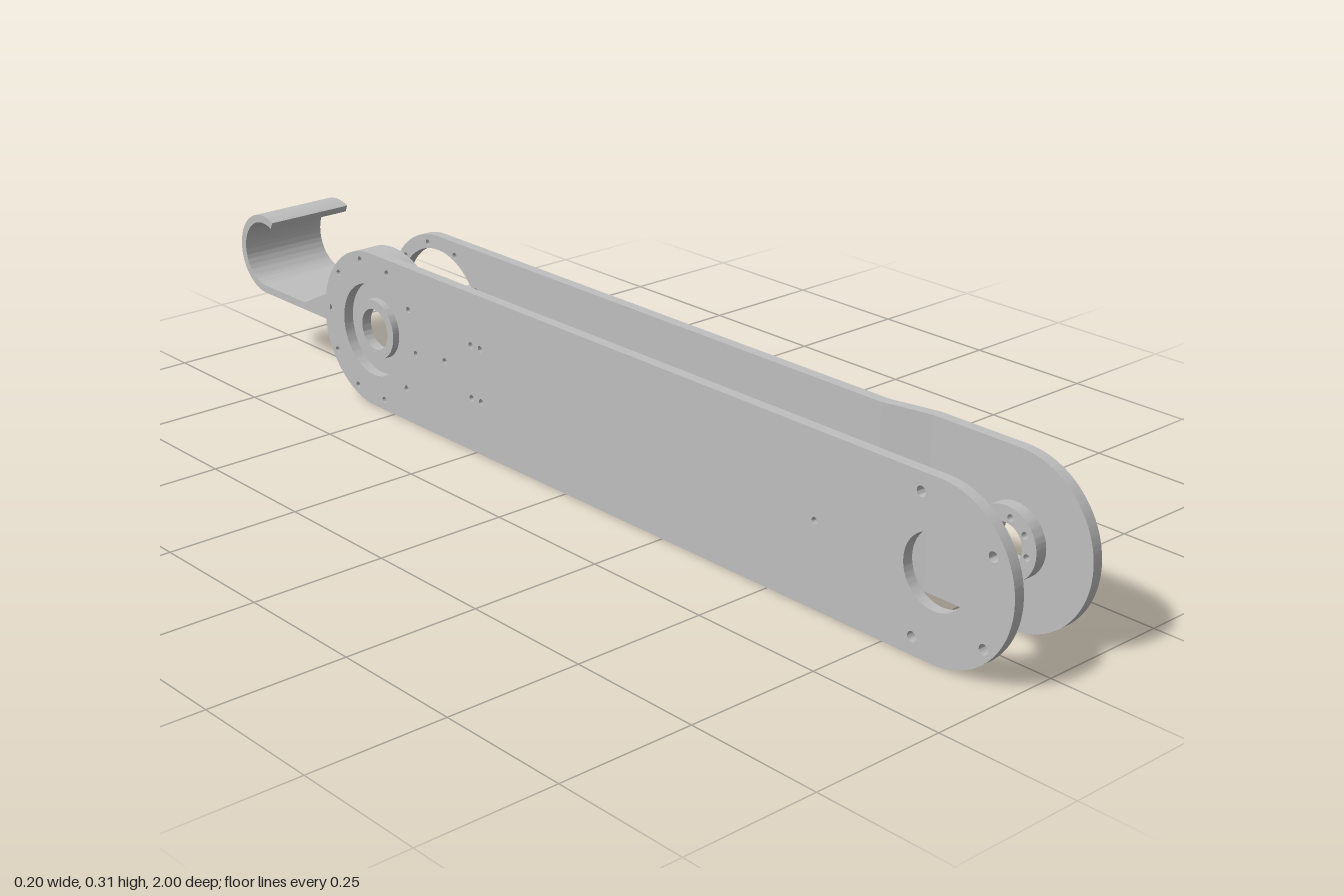
import * as THREE from 'three';
import { toCreasedNormals } from 'three/addons/utils/BufferGeometryUtils.js';

const CY = 0.1525, R = 0.1525, REAR = 0.563, FRONT = -0.85; // shape u = -z

export function createModel() {
  const model = new THREE.Group();
  model.name = 'linkArm';
  const grey = new THREE.MeshStandardMaterial({ color: 0xbfbfbf });
  grey.name = 'machinedGrey';

  // Extrude a side-view shape (u = -z, v = y) between two x positions
  function slab(name, shape, x0, x1) {
    const g = new THREE.ExtrudeGeometry(shape, { depth: x1 - x0, bevelEnabled: false, curveSegments: 40 });
    g.rotateY(Math.PI / 2);
    g.translate(x0, 0, 0);
    const mesh = new THREE.Mesh(toCreasedNormals(g, 0.5), grey);
    mesh.name = name;
    model.add(mesh);
    return mesh;
  }
  function hole(shape, u, v, r) {
    const p = new THREE.Path();
    p.absarc(u, v, r, 0, Math.PI * 2, true);
    shape.holes.push(p);
  }
  function holeRing(shape, u, n, ringR, r, start = 0) {
    for (let i = 0; i < n; i++) {
      const a = start + i * Math.PI * 2 / n;
      hole(shape, u + Math.cos(a) * ringR, CY + Math.sin(a) * ringR, r);
    }
  }
  function disc(u, r, inner) {
    const s = new THREE.Shape();
    s.absarc(u, CY, r, 0, Math.PI * 2, false);
    if (inner) hole(s, u, CY, inner);
    return s;
  }
  // Plate outline, each end either round or cut straight
  function outline(u0, u1, roundFront, roundRear) {
    const s = new THREE.Shape();
    s.moveTo(u0, 0);
    s.lineTo(u1, 0);
    if (roundRear) s.absarc(u1, CY, R, -Math.PI / 2, Math.PI / 2, false);
    else s.lineTo(u1, 2 * R);
    s.lineTo(u0, 2 * R);
    if (roundFront) s.absarc(u0, CY, R, Math.PI / 2, Math.PI * 1.5, false);
    return s;
  }
  function mountHoles(s) {
    for (const u of [0.235, 0.262]) for (const v of [0.103, 0.205]) hole(s, u, v, 0.006);
  }

  // Right plate: straight, with a large front hole and screw holes
  const right = outline(FRONT, REAR, true, true);
  hole(right, FRONT, CY, 0.064);
  for (const [u, v] of [[0.035, 0.12], [-0.108, 0.063], [-0.1, -0.09], [0.04, -0.122]]) {
    hole(right, FRONT + u, CY + v, 0.009);
  }
  hole(right, -0.6, CY, 0.006);
  hole(right, 0.34, CY, 0.006);
  mountHoles(right);
  hole(right, REAR, CY, 0.09);
  holeRing(right, REAR, 10, 0.136, 0.006, 0.08);
  slab('rightPlate', right, -0.1, -0.08);

  // Left plate: rear section, outward jog, front section
  const leftRear = outline(-0.585, REAR, false, true);
  hole(leftRear, REAR, CY, 0.125);
  holeRing(leftRear, REAR, 10, 0.136, 0.006, 0.08);
  mountHoles(leftRear);
  slab('leftPlateRear', leftRear, 0.06, 0.08);

  const jog = new THREE.Shape([[0.06, -0.585], [0.08, -0.585], [0.1, -0.675], [0.08, -0.675]]
    .map(([x, y]) => new THREE.Vector2(x, y)));
  const jogGeo = new THREE.ExtrudeGeometry(jog, { depth: 2 * R, bevelEnabled: false });
  jogGeo.rotateX(-Math.PI / 2);
  const jogMesh = new THREE.Mesh(jogGeo, grey);
  jogMesh.name = 'leftPlateJog';
  model.add(jogMesh);

  const leftFront = outline(FRONT, -0.675, true, false);
  hole(leftFront, FRONT, CY, 0.035);
  holeRing(leftFront, FRONT, 8, 0.046, 0.006, 0.2);
  slab('leftPlateFront', leftFront, 0.08, 0.1);

  // Round boss inside the left plate
  const boss = disc(FRONT, 0.063, 0.035);
  holeRing(boss, FRONT, 8, 0.046, 0.006, 0.2);
  slab('shaftBoss', boss, 0.057, 0.08);

  // Bearing housing: floor, slotted wall, rim and collar
  slab('housingFloor', disc(REAR, R, 0.04), -0.08, -0.074);
  slab('bearingCollar', disc(REAR, 0.058, 0.04), -0.094, -0.08);
  const arcs = [[-Math.PI + 0.2, Math.PI - 0.59], [Math.PI - 0.32, Math.PI - 0.2]];
  for (const [a, b] of arcs) {
    const wall = new THREE.Shape();
    wall.absarc(REAR, CY, R, a, b, false);
    wall.absarc(REAR, CY, 0.127, b, a, true);
    slab('housingWall', wall, -0.074, -0.055);
  }
  slab('housingRim', disc(REAR, R, 0.127), -0.055, -0.045);

  // Spacer rods between the plates
  for (const z of [0.585, -0.34]) {
    const g = new THREE.CylinderGeometry(0.019, 0.019, 0.14, 32);
    g.rotateZ(Math.PI / 2);
    const rod = new THREE.Mesh(g, grey);
    rod.name = 'spacerRod';
    rod.position.set(-0.01, CY, z);
    model.add(rod);
  }

  // Rear hook with a tapered root
  const hook = new THREE.Shape();
  const end = THREE.MathUtils.degToRad(115);
  hook.moveTo(0.725, 0.135);
  hook.lineTo(0.92, 0.135);
  hook.absarc(0.92, 0.215, 0.08, -Math.PI / 2, end, false);
  hook.absarc(0.92, 0.215, 0.065, end, -Math.PI / 2, true);
  hook.lineTo(0.785, 0.15);
  hook.lineTo(0.725, 0.18);
  slab('hook', hook, -0.1, 0.08);

  // Tabs joining the hook to both plates
  const tab = new THREE.Shape([[0.7, 0.135], [0.725, 0.135], [0.725, 0.18], [0.7, 0.192]]
    .map(([x, y]) => new THREE.Vector2(x, y)));
  slab('hookTabRight', tab, -0.1, -0.08);
  slab('hookTabLeft', tab, 0.06, 0.08);

  return model;
}
